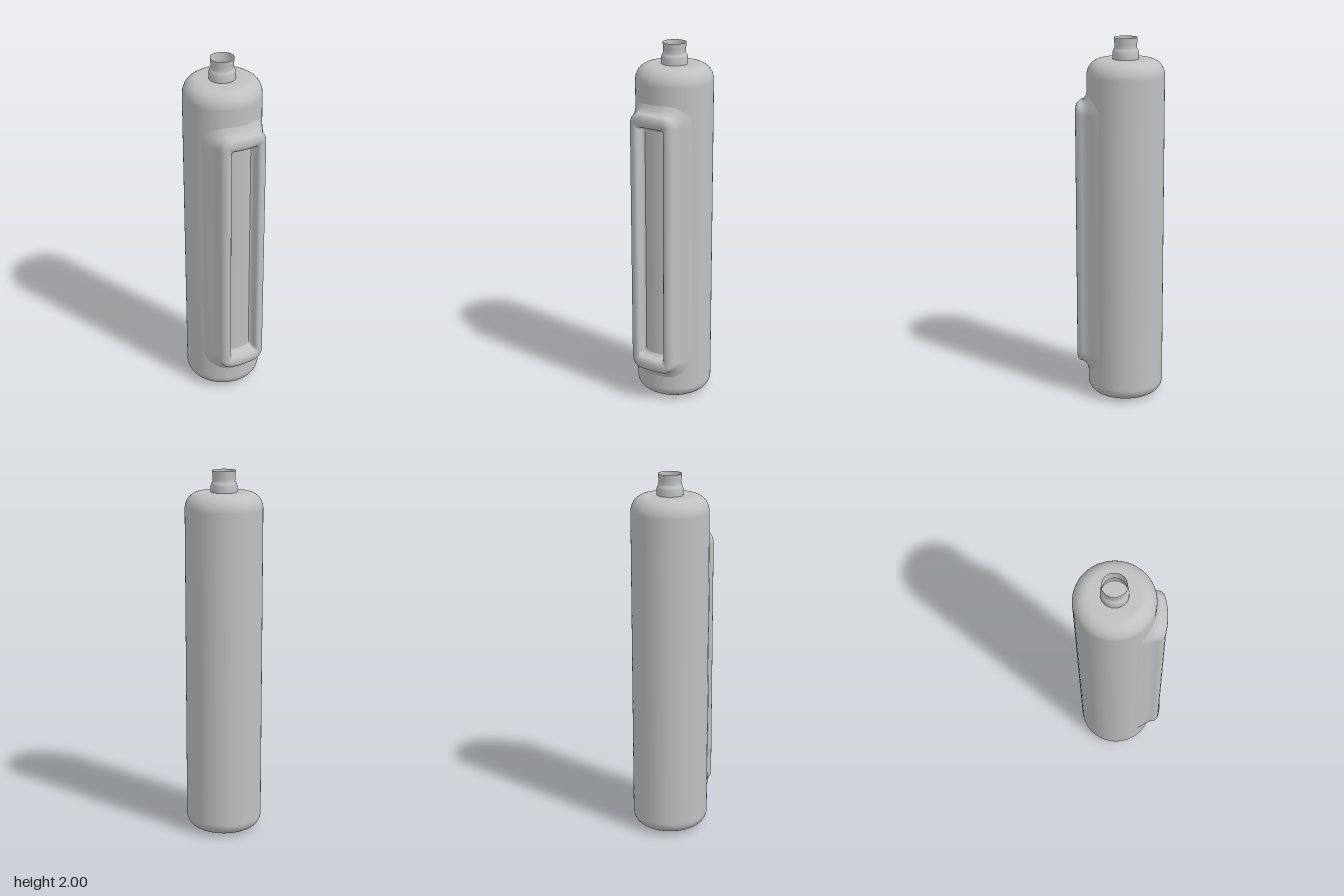
import * as THREE from 'three';

const R = 0.208, CZ = -0.03; // body radius and axis position

// Quarter-ellipse corner points between two angles
function corner(cx, cy, rx, ry, a0, a1, n = 10) {
  return Array.from({ length: n + 1 }, (_, i) => {
    const a = a0 + (a1 - a0) * i / n;
    return new THREE.Vector2(cx + rx * Math.cos(a), cy + ry * Math.sin(a));
  });
}

// Rounded-rectangle loop, counter-clockwise, grown outwards by (ox, oy)
function loopPoints(ox, oy) {
  const hx = 0.135 + ox, hy = 0.735 + oy, cy = 0.925;
  const r = Math.max(0.06 + Math.min(ox, oy), 0.015);
  const corners = [[1, 1], [-1, 1], [-1, -1], [1, -1]].map(([sx, sy], k) =>
    corner(sx * (hx - r), cy + sy * (hy - r), r, r, k * Math.PI / 2, (k + 1) * Math.PI / 2, 8));
  const pts = [];
  corners.forEach((c, k) => {
    pts.push(...c);
    const from = c[c.length - 1], to = corners[(k + 1) % 4][0];
    for (let i = 1; i < 10; i++) pts.push(from.clone().lerp(to, i / 10));
  });
  return pts;
}

// Raised frame that flares out of the curved body wall
function frameGeometry() {
  // [outward offset, height from body wall (0) to crest (1)]
  const section = [
    [0.05, -0.04], [0.034, 0.07], [0.02, 0.18], [0.008, 0.32], [0.001, 0.48], [0, 0.64],
    [-0.002, 0.78], [-0.008, 0.9], [-0.018, 0.975], [-0.03, 1], [-0.041, 0.98], [-0.051, 0.9],
    [-0.057, 0.76], [-0.06, 0.5], [-0.063, 0.22], [-0.07, 0.06], [-0.08, -0.05],
  ];
  const pos = [], idx = [];
  let n = 0;
  for (const [o, h] of section) {
    const pts = loopPoints(o, o < 0 ? o * 1.25 : o);
    n = pts.length;
    for (const p of pts) {
      const wall = Math.sqrt(R * R - Math.min(p.x * p.x, 0.04)) + CZ;
      const crest = 0.236 - 1.2 * p.x * p.x;
      pos.push(p.x, p.y, wall + (crest - wall) * h);
    }
  }
  for (let j = 0; j < section.length - 1; j++) {
    for (let i = 0; i < n; i++) {
      const a = j * n + i, b = j * n + (i + 1) % n;
      idx.push(a, b, b + n, a, b + n, a + n);
    }
  }
  const g = new THREE.BufferGeometry();
  g.setAttribute('position', new THREE.Float32BufferAttribute(pos, 3));
  g.setIndex(idx);
  g.computeVertexNormals();
  return g;
}

export function createModel() {
  const group = new THREE.Group();
  const grey = new THREE.MeshStandardMaterial({ color: 0xc0c0c0, side: THREE.DoubleSide });
  grey.name = 'grey';
  const add = (name, geometry, z = 0) => {
    const mesh = new THREE.Mesh(geometry, grey);
    mesh.name = name;
    mesh.position.z = z;
    group.add(mesh);
  };

  // Cylindrical body with a softly domed base and rounded shoulder
  add('body', new THREE.LatheGeometry([
    new THREE.Vector2(0, 0),
    new THREE.Vector2(0.08, 0.002),
    ...corner(0.138, 0.075, 0.07, 0.068, -Math.PI / 2, 0),
    ...corner(0.128, 1.8, 0.08, 0.087, 0, Math.PI / 2),
    new THREE.Vector2(0.1, 1.887),
    new THREE.Vector2(0, 1.887),
  ], 72), CZ);

  // Thin open neck with a collar at its foot
  add('neck', new THREE.LatheGeometry([
    [0.071, 1.885], [0.071, 1.9], [0.07, 1.922], [0.067, 1.932],
    [0.062, 1.939], [0.059, 1.946], [0.06, 1.965], [0.063, 2],
  ].map(([x, y]) => new THREE.Vector2(x, y)), 48), CZ);

  // Raised rim around the front recess
  add('frontFrame', frameGeometry());

  return group;
}
